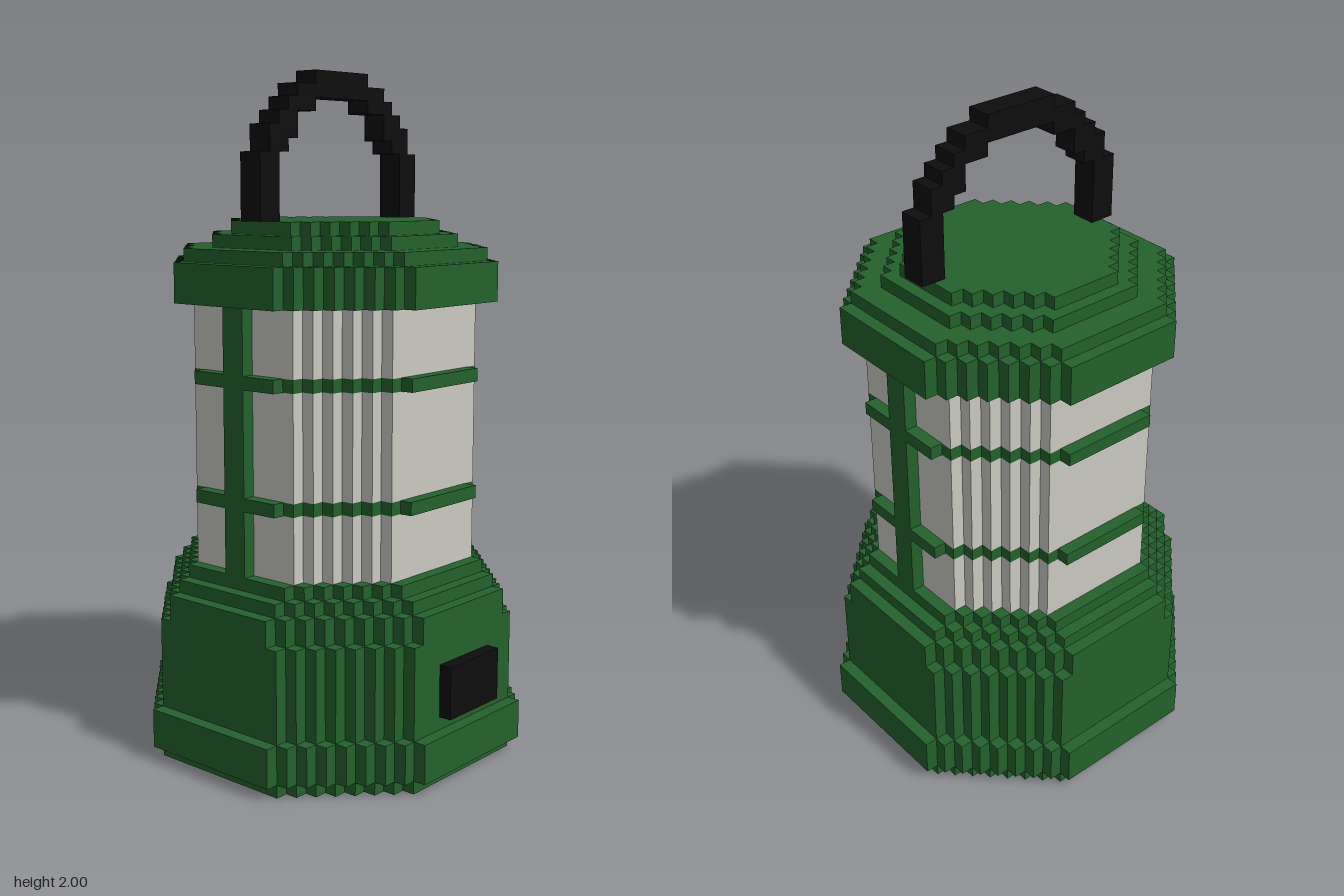
import * as THREE from 'three';

const U = 2 / 52; // edge of one voxel

const material = (name, color) => {
  const m = new THREE.MeshStandardMaterial({ color });
  m.name = name;
  return m;
};

// Stepped octagon: apothem r, half length of a straight side f (in voxels)
function octagonShape(r, f) {
  const quarter = [[r, f]];
  for (let x = r, z = f; x > f; x--, z++) quarter.push([x - 1, z], [x - 1, z + 1]);
  const points = [];
  for (let q = 0; q < 4; q++) {
    for (const [x, z] of quarter) {
      const [a, b] = [[x, z], [-z, x], [-x, -z], [z, -x]][q];
      points.push(new THREE.Vector2(a * U, b * U));
    }
  }
  return new THREE.Shape(points);
}

export function createModel() {
  const green = material('green shell', 0x24612c);
  const black = material('black plastic', 0x0d0d0d);
  const pale = material('pale glass', 0xcacac2);
  const model = new THREE.Group();
  model.name = 'lantern';

  // Horizontal slab with stepped corners, from voxel row y0 to y1
  function slab(parent, name, r, f, y0, y1, mat) {
    const geometry = new THREE.ExtrudeGeometry(octagonShape(r, f), {
      depth: (y1 - y0) * U, bevelEnabled: false,
    });
    geometry.rotateX(-Math.PI / 2);
    const mesh = new THREE.Mesh(geometry, mat);
    mesh.name = name;
    mesh.position.y = y0 * U;
    parent.add(mesh);
  }

  // Box given by its voxel limits
  function box(parent, name, x0, x1, y0, y1, z0, z1, mat) {
    const mesh = new THREE.Mesh(
      new THREE.BoxGeometry((x1 - x0) * U, (y1 - y0) * U, (z1 - z0) * U), mat);
    mesh.position.set((x0 + x1) / 2 * U, (y0 + y1) / 2 * U, (z0 + z1) / 2 * U);
    mesh.name = name;
    parent.add(mesh);
  }

  function group(name) {
    const g = new THREE.Group();
    g.name = name;
    model.add(g);
    return g;
  }

  // Base with a foot rim and stepped shoulder
  const base = group('base');
  slab(base, 'foot', 13, 6, 0, 1, green);
  slab(base, 'footRim', 14, 6, 1, 4, green);
  slab(base, 'lowerBody', 13, 6, 4, 11, green);
  slab(base, 'upperBody', 13, 5, 11, 13, green);
  slab(base, 'lowerShoulder', 12, 5, 13, 14, green);
  slab(base, 'upperShoulder', 11, 5, 14, 15, green);
  box(base, 'switch', -3, 3, 5, 9, 13, 14, black);

  // Glass in three bands, parted by guard rings
  const lamp = group('lamp');
  for (const [y0, y1] of [[15, 20], [21, 29], [30, 35]]) slab(lamp, 'glass', 10, 5, y0, y1, pale);
  for (const y of [20, 29]) slab(lamp, 'guardRing', 11, 4, y, y + 1, green);
  box(lamp, 'leftPost', 10, 11, 15, 35, -1, 1, green);
  box(lamp, 'rightPost', -11, -10, 15, 35, -1, 1, green);

  // Stepped cap
  const cap = group('cap');
  slab(cap, 'capRim', 12, 5, 35, 38, green);
  slab(cap, 'capShoulder', 11, 5, 38, 39, green);
  slab(cap, 'capStep', 9, 4, 39, 40, green);
  slab(cap, 'capTop', 8, 3, 40, 41, green);

  // Carrying handle: [inner x, outer x, bottom row, top row], mirrored
  const handle = group('handle');
  const arch = [[7, 9, 41, 46], [6, 8, 46, 47], [5, 8, 47, 48], [5, 7, 48, 49], [3, 6, 49, 50]];
  for (const [a, b, y0, y1] of arch) {
    box(handle, 'leftHandleStep', a, b, y0, y1, -1, 1, black);
    box(handle, 'rightHandleStep', -b, -a, y0, y1, -1, 1, black);
  }
  box(handle, 'gripUnderside', -5, 5, 50, 51, -1, 1, black);
  box(handle, 'gripTop', -3, 3, 51, 52, -1, 1, black);

  return model;
}
